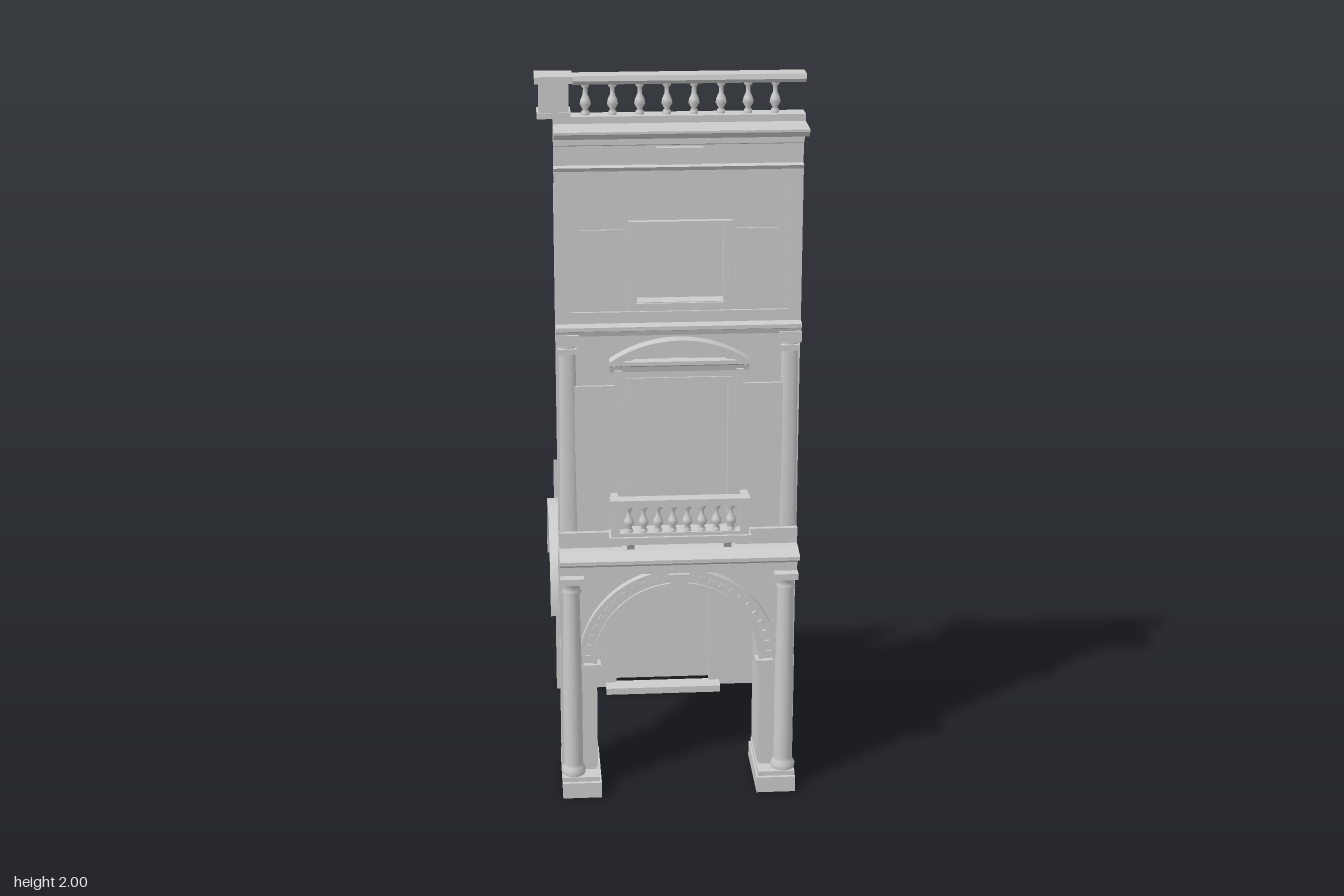
import * as THREE from 'three';
import { ParametricGeometry } from 'three/addons/geometries/ParametricGeometry.js';

const CX = 0.021, X0 = -0.3, X1 = 0.34;   // bay centre and side limits

export function createModel() {
  const root = new THREE.Group();
  const mat = new THREE.MeshStandardMaterial({ color: 0xcccccc, side: THREE.DoubleSide });

  const add = (name, geo, x = 0, y = 0, z = 0) => {
    const m = new THREE.Mesh(geo, mat);
    m.name = name;
    m.position.set(x, y, z);
    root.add(m);
    return m;
  };
  const box = (name, x0, x1, y0, y1, z0, z1) =>
    add(name, new THREE.BoxGeometry(x1 - x0, y1 - y0, z1 - z0), (x0 + x1) / 2, (y0 + y1) / 2, (z0 + z1) / 2);
  // same box on both sides of the bay centre, given as distances from it
  const pair = (name, d0, d1, ...r) => {
    box(name, CX + d0, CX + d1, ...r);
    box(name, CX - d1, CX - d0, ...r);
  };
  // moulding: [z, y] profile swept along x
  const moulding = (name, x0, x1, pts) => {
    const s = new THREE.Shape(pts.map(([z, y]) => new THREE.Vector2(-z, y)));
    const m = add(name, new THREE.ExtrudeGeometry(s, { depth: x1 - x0, bevelEnabled: false }), x0);
    m.rotation.y = Math.PI / 2;
    return m;
  };
  const extrude = (name, shape, z0, z1) =>
    add(name, new THREE.ExtrudeGeometry(shape, { depth: z1 - z0, bevelEnabled: false, curveSegments: 32 }), 0, 0, z0);
  const rect = (T, x0, x1, y0, y1) =>
    new T([[x0, y0], [x1, y0], [x1, y1], [x0, y1]].map(p => new THREE.Vector2(...p)));
  const frame = (name, x0, x1, y0, y1, w, z0, z1) => {
    const s = rect(THREE.Shape, x0, x1, y0, y1);
    s.holes.push(rect(THREE.Path, x0 + w, x1 - w, y0 + w, y1 - w));
    extrude(name, s, z0, z1);
  };
  // thin wall with an arched opening
  const archWall = (name, r, spring, base, top, z) => {
    const s = new THREE.Shape();
    s.moveTo(X0, base); s.lineTo(X0, top); s.lineTo(X1, top); s.lineTo(X1, base);
    s.lineTo(CX + r, base); s.lineTo(CX + r, spring);
    s.absarc(CX, spring, r, 0, Math.PI, false);
    s.lineTo(CX - r, base);
    add(name, new THREE.ShapeGeometry(s, 32), 0, 0, z);
  };
  // half ring, or a shorter segment with half angle a
  const ring = (name, cy, r0, r1, z0, z1, a = Math.PI / 2) => {
    const s = new THREE.Shape(), q = Math.PI / 2;
    s.absarc(CX, cy, r1, q - a, q + a, false);
    s.absarc(CX, cy, r0, q + a, q - a, true);
    extrude(name, s, z0, z1);
  };
  const soffit = (name, r, spring, z0, z1) => {
    const g = new THREE.CylinderGeometry(r, r, z1 - z0, 40, 1, true, Math.PI / 2, Math.PI);
    g.rotateX(Math.PI / 2);
    return add(name, g, CX, spring, (z0 + z1) / 2);
  };
  const keystone = (name, y0, y1, z0, z1) => {
    const s = new THREE.Shape([[-0.016, y0], [0.016, y0], [0.028, y1], [-0.028, y1]]
      .map(([x, y]) => new THREE.Vector2(CX + x, y)));
    extrude(name, s, z0, z1);
  };
  const balusters = (name, n, xa, xb, y, h, z) => {
    const pts = [[0.7, 0], [0.7, 0.1], [0.4, 0.16], [0.95, 0.32], [0.8, 0.46], [0.4, 0.62], [0.38, 0.8], [0.7, 0.86], [0.7, 1]]
      .map(([r, t]) => new THREE.Vector2(r * 0.015, t * h));
    const geo = new THREE.LatheGeometry(pts, 12);
    for (let i = 0; i < n; i++) add(name, geo, xa + (xb - xa) * i / (n - 1), y, z);
  };

  // ground floor: front piers and arch
  const R = 0.222, S = 0.38;
  pair('pier', R, 0.32, 0.05, S, 0.13, 0.285);
  pair('pierBase', R - 0.008, 0.321, 0, 0.045, 0.13, 0.355);
  pair('pierBaseStep', R - 0.003, 0.32, 0.045, 0.058, 0.135, 0.345);
  soffit('archSoffit', R, S, 0.13, 0.285);
  archWall('archFrontWall', R, S, 0, 0.71, 0.285);
  archWall('archRearWall', R, S, S, 0.64, 0.13);
  ring('archivolt', S, R, 0.272, 0.28, 0.296);
  ring('archivoltOuterMoulding', S, 0.258, 0.272, 0.296, 0.308);
  ring('archivoltInnerMoulding', S, R, 0.232, 0.296, 0.303);
  for (let i = 0; i < 25; i++) {
    const t = Math.PI * (i + 0.5) / 25;
    const m = add('archDentil', new THREE.BoxGeometry(0.012, 0.016, 0.01), CX + Math.cos(t) * 0.249, S + Math.sin(t) * 0.249, 0.298);
    m.rotation.z = t;
  }
  pair('archPilaster', R + 0.004, 0.268, 0.05, 0.345, 0.28, 0.297);
  pair('archImpost', R - 0.006, 0.275, 0.345, 0.365, 0.275, 0.305);
  pair('archImpostCap', R - 0.01, 0.28, 0.365, S, 0.275, 0.312);
  keystone('archKeystone', 0.59, 0.65, 0.28, 0.335);

  // engaged columns beside the arch
  const colProfile = [[0.032, 0.058], [0.034, 0.07], [0.028, 0.08], [0.026, 0.09], [0.026, 0.3], [0.022, 0.59],
    [0.027, 0.6], [0.023, 0.606], [0.023, 0.618], [0.032, 0.634]].map(p => new THREE.Vector2(...p));
  for (const s of [-1, 1]) add('column', new THREE.LatheGeometry(colProfile, 24), CX + s * 0.29, 0, 0.31);
  pair('columnAbacus', 0.256, 0.32, 0.632, 0.65, 0.28, 0.352);

  // entablature over the arch
  moulding('entablature', X0, X1, [[0.21, 0.65], [0.325, 0.65], [0.325, 0.675], [0.34, 0.68], [0.355, 0.695],
    [0.383, 0.702], [0.383, 0.712], [0.33, 0.722], [0.21, 0.722]]);

  // upper wall with both window openings
  const wall = rect(THREE.Shape, X0, X1, 0.71, 1.7);
  wall.holes.push(rect(THREE.Path, -0.11, 0.155, 0.76, 1.19), rect(THREE.Path, -0.09, 0.138, 1.4, 1.6));
  extrude('upperWall', wall, 0.21, 0.292);
  box('tallWindowPane', -0.11, 0.155, 0.76, 1.19, 0.246, 0.25);
  box('smallWindowPane', -0.09, 0.138, 1.4, 1.6, 0.246, 0.25);
  box('friezeWall', X0, X1, 1.7, 1.89, 0.287, 0.292);

  // middle floor
  pair('sidePanel', 0.152, 0.275, 0.77, 1.175, 0.29, 0.3);
  pair('wallBase', 0.152, 0.32, 0.722, 0.765, 0.29, 0.305);
  for (const s of [-1, 1]) {
    add('flatColumn', new THREE.CylinderGeometry(0.021, 0.026, 0.52, 24), CX + s * 0.292, 1.03, 0.292).scale.z = 0.5;
  }
  pair('flatColumnCapital', 0.262, 0.32, 1.29, 1.32, 0.285, 0.318);
  pair('flatColumnNeck', 0.268, 0.317, 1.265, 1.28, 0.285, 0.309);
  frame('tallWindowFrame', -0.135, 0.18, 0.735, 1.215, 0.025, 0.285, 0.305);
  frame('tallWindowInnerFrame', -0.118, 0.163, 0.752, 1.198, 0.012, 0.27, 0.31);
  pair('windowBracket', 0.15, 0.17, 1.17, 1.22, 0.288, 0.315);

  // segmental pediment
  moulding('pedimentBase', -0.162, 0.204, [[0.285, 1.215], [0.308, 1.215], [0.312, 1.23], [0.33, 1.238], [0.33, 1.248], [0.285, 1.248]]);
  const PA = 0.6, PR = 0.183 / Math.sin(PA), PY = 1.305 - PR;
  ring('pedimentArch', PY, PR - 0.018, PR, 0.285, 0.33, PA);
  ring('pedimentInnerMoulding', PY, PR - 0.028, PR - 0.018, 0.285, 0.316, PA * 0.96);
  ring('pedimentField', PY, PR - 0.055, PR - 0.018, 0.285, 0.3, PA * 0.8);

  // balcony
  box('balconyFloor', -0.168, 0.21, 0.752, 0.772, 0.285, 0.368);
  box('balconyPlinth', -0.16, 0.202, 0.772, 0.782, 0.335, 0.36);
  box('balconyRail', -0.165, 0.207, 0.857, 0.876, 0.33, 0.365);
  balusters('balconyBaluster', 8, -0.115, 0.157, 0.782, 0.075, 0.347);
  pair('balconyPost', 0.16, 0.183, 0.772, 0.86, 0.335, 0.36);
  pair('balconySideRail', 0.163, 0.183, 0.857, 0.876, 0.29, 0.335);
  for (const s of [-1, 1]) {
    const x = CX + s * 0.13 - 0.01;
    moulding('balconyBracket', x, x + 0.02, [[0.285, 0.705], [0.32, 0.712], [0.332, 0.735], [0.36, 0.752], [0.285, 0.752]]);
  }

  // top floor
  moulding('stringCourse', X0, X1, [[0.285, 1.315], [0.31, 1.315], [0.314, 1.328], [0.328, 1.333], [0.328, 1.343], [0.285, 1.348]]);
  frame('wallBorder', X0, X1, 1.34, 1.755, 0.036, 0.287, 0.3);
  frame('smallWindowFrame', -0.11, 0.158, 1.38, 1.618, 0.02, 0.28, 0.308);
  frame('smallWindowInnerFrame', -0.1, 0.148, 1.39, 1.608, 0.012, 0.285, 0.302);
  pair('topSidePanel', 0.146, 0.256, 1.39, 1.595, 0.29, 0.298);

  // crowning cornice
  moulding('friezeMoulding', X0, X1, [[0.287, 1.745], [0.302, 1.75], [0.308, 1.76], [0.287, 1.765]]);
  box('friezeTablet', -0.035, 0.078, 1.765, 1.805, 0.288, 0.304);
  box('friezeTabletCap', -0.038, 0.081, 1.8, 1.81, 0.288, 0.31);
  moulding('dentilBand', X0, X1, [[0.287, 1.812], [0.304, 1.818], [0.304, 1.848], [0.287, 1.848]]);
  for (let i = 0; i < 30; i++) {
    const x = X0 + 0.006 + i * 0.0214;
    box('dentil', x, x + 0.012, 1.828, 1.845, 0.3, 0.318);
  }
  moulding('crownCornice', X0, X1, [[0.287, 1.846], [0.33, 1.846], [0.335, 1.853], [0.398, 1.853], [0.413, 1.868],
    [0.413, 1.874], [0.3, 1.878], [0.287, 1.878]]);

  // roof balustrade
  box('balustradeBase', X0, X1, 1.876, 1.895, 0.267, 0.322);
  balusters('roofBaluster', 8, -0.217, 0.264, 1.895, 0.085, 0.295);
  moulding('roofRail', -0.25, X1, [[0.275, 1.975], [0.315, 1.975], [0.325, 1.985], [0.322, 1.998], [0.268, 1.998], [0.265, 1.985]]);
  box('cornerPedestal', -0.335, -0.26, 1.9, 1.985, 0.26, 0.33);
  box('cornerPedestalCap', -0.345, -0.25, 1.982, 2, 0.25, 0.34);
  box('cornerPedestalFoot', -0.34, -0.255, 1.893, 1.908, 0.255, 0.335);

  // barrel vault, raised by an arched lunette toward each opening
  const VZ = -0.11, VR = 0.24, VY = 0.45;
  const vault = new ParametricGeometry((u, v, p) => {
    const x = -0.3 + 0.64 * u, t = Math.PI * v;
    const arch = S + Math.sqrt(Math.max(0, R * R - (x - CX) ** 2));
    p.set(x, Math.max(VY + VR * Math.sin(t), arch), VZ + VR * Math.cos(t));
  }, 80, 60);
  add('vault', vault);
  const ribShape = new THREE.Shape();
  ribShape.absarc(-VZ, VY, VR + 0.003, 0, Math.PI, false);
  ribShape.absarc(-VZ, VY, VR - 0.014, Math.PI, 0, true);
  const rib = add('vaultRib', new THREE.ExtrudeGeometry(ribShape, { depth: 0.05, bevelEnabled: false, curveSegments: 32 }), -0.322);
  rib.rotation.y = Math.PI / 2;

  // rear wall with arched doorway
  const r = 0.144, s = 0.44;
  archWall('rearWall', r, s, 0, 0.74, -0.347);
  pair('rearPier', r, 0.32, 0, s, -0.415, -0.347);
  soffit('rearArchSoffit', r, s, -0.415, -0.345);
  const door = new THREE.Shape();
  door.moveTo(CX - r, 0); door.lineTo(CX + r, 0); door.lineTo(CX + r, s);
  door.absarc(CX, s, r, 0, Math.PI, false);
  add('rearDoor', new THREE.ShapeGeometry(door, 32), 0, 0, -0.41);
  ring('doorArchivolt', s, r - 0.004, 0.172, -0.355, -0.337);
  ring('doorArchivoltMoulding', s, 0.162, 0.172, -0.337, -0.331);
  pair('doorJamb', r - 0.004, 0.172, 0, s, -0.347, -0.337);
  pair('doorImpost', r - 0.008, 0.178, s - 0.02, s, -0.347, -0.33);
  keystone('doorKeystone', 0.58, 0.635, -0.357, -0.333);
  box('doorStep', CX - 0.172, CX + 0.172, 0, 0.02, -0.347, -0.292);
  return root;
}
